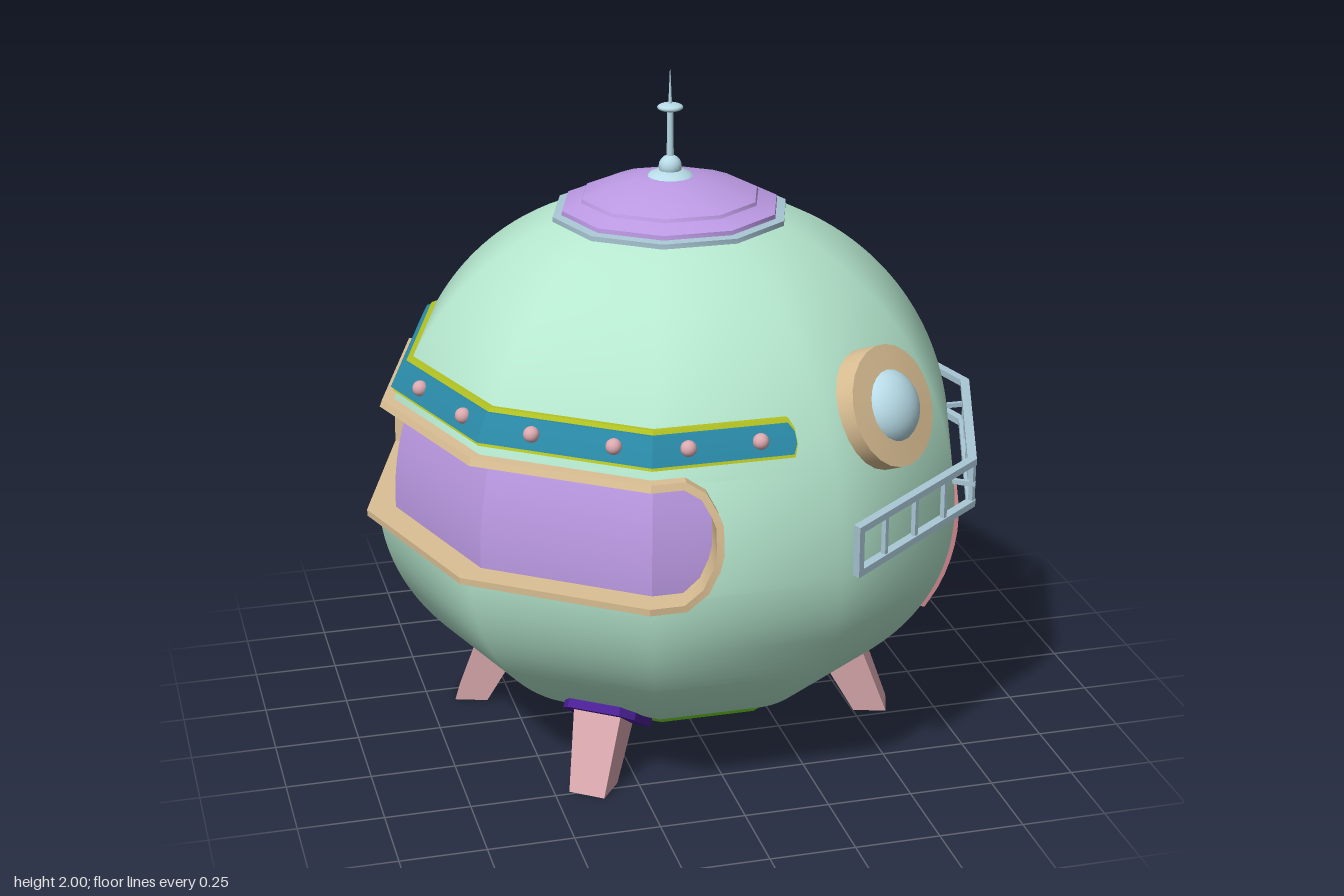
import * as THREE from 'three';
import { toCreasedNormals } from 'three/addons/utils/BufferGeometryUtils.js';

const SIDES = 10, FACET = Math.PI * 2 / SIDES;
const V = (x, y) => new THREE.Vector2(x, y);
const mat = (color) => new THREE.MeshStandardMaterial({ color });
const MAT = {
  hull: mat(0xb6e8cf), purple: mat(0xbc9ae4), tan: mat(0xdcc094), pink: mat(0xdcaab0),
  collar: mat(0x4b1f96), lime: mat(0x74d822), trim: mat(0xb4c422), teal: mat(0x2a8aa8),
  sky: mat(0xb8dce8), rail: mat(0xa8c6d4), doorPink: mat(0xc58388),
};

// Hull profile: half circle above the belt, flatter ellipse below it
const BELT = 0.76, GIRTH = 0.886;
const rise = (y) => (y > BELT ? GIRTH : 0.7);
const hullRadius = (y) => GIRTH * Math.sqrt(1 - ((y - BELT) / rise(y)) ** 2);

// Point on a ten-sided ring: t counts corners from +x towards +z
function ringPoint(t, r, y) {
  const n = Math.floor(t), f = t - n;
  const mix = (fn) => (fn(n * FACET) * (1 - f) + fn((n + 1) * FACET) * f) * r;
  return new THREE.Vector3(mix(Math.cos), y, mix(Math.sin));
}

function add(parent, name, geometry, material, x = 0, y = 0, z = 0) {
  const mesh = new THREE.Mesh(geometry, material);
  mesh.name = name;
  mesh.position.set(x, y, z);
  parent.add(mesh);
  return mesh;
}

// Skin over rows of points, optionally closed both ways
function skin(rows, closed) {
  const w = rows[0].length, h = rows.length, index = [];
  const id = (i, j) => (i % h) * w + (j % w);
  for (let i = 0; i < (closed ? h : h - 1); i++)
    for (let j = 0; j < (closed ? w : w - 1); j++) {
      const a = id(i, j), b = id(i + 1, j), c = id(i + 1, j + 1), d = id(i, j + 1);
      index.push(a, b, c, a, c, d);
    }
  const g = new THREE.BufferGeometry().setFromPoints(rows.flat());
  g.setIndex(index);
  return g;
}

// Smooth piece of hull; columns are [t, bottom, top]
function hullPatch(columns, n = 16) {
  const rows = [], normals = [];
  for (let i = 0; i <= n; i++) {
    rows.push(columns.map(([t, lo, hi]) => {
      const y = lo + (hi - lo) * i / n, r = hullRadius(y);
      const slope = GIRTH ** 2 * (y - BELT) / (rise(y) ** 2 * r);
      normals.push(...ringPoint(t, 1, slope).normalize());
      return ringPoint(t, r, y);
    }));
  }
  const g = skin(rows, false);
  g.setAttribute('normal', new THREE.Float32BufferAttribute(normals, 3));
  return g;
}

// Plate with a rim, following the hull at an offset
function plate(columns, offset, n = 8) {
  const rows = [], m = columns.length;
  for (let i = -1; i <= n + 1; i++) {
    const row = [];
    for (let j = -1; j <= m; j++) {
      const edge = i < 0 || i > n || j < 0 || j === m;
      const [t, lo, hi] = columns[THREE.MathUtils.clamp(j, 0, m - 1)];
      const y = lo + (hi - lo) * THREE.MathUtils.clamp(i, 0, n) / n;
      row.push(ringPoint(t, hullRadius(y) + offset - (edge ? 0.04 : 0), y));
    }
    rows.push(row);
  }
  return toCreasedNormals(skin(rows, false), 0.5);
}

// Closed frame of square section round an outline of [t, y] points
function frame(outline, width, low, high, radius = hullRadius) {
  const S = 0.52, n = outline.length, p = outline.map(([t, y]) => V(t * S, y));
  const rows = p.map((q, i) => {
    const d1 = q.clone().sub(p[(i + n - 1) % n]).normalize();
    const d2 = p[(i + 1) % n].clone().sub(q).normalize();
    const n1 = V(d1.y, -d1.x), n2 = V(d2.y, -d2.x);
    const o = n1.clone().add(n2).multiplyScalar(width / (1 + n1.dot(n2))).add(q);
    return [[q, low], [q, high], [o, high], [o, low]]
      .map(([v, off]) => ringPoint(v.x / S, radius(v.y) + off, v.y));
  });
  return toCreasedNormals(skin(rows, true), 0.5);
}

function lathe(points, sides = SIDES) {
  const g = new THREE.LatheGeometry(points.map(([r, y]) => V(r, y)), sides, Math.PI / 2);
  return toCreasedNormals(g, 0.64);
}

export function createModel() {
  const model = new THREE.Group();
  const ship = new THREE.Group();
  ship.name = 'ship';
  ship.position.set(-0.02, 0, -0.02);
  model.add(ship);

  // Hull, left open where the window sits
  const LO = 0.735, HI = 1.055, BACK = 5.96;
  const nose = [[2.67, 0.87, 0.945], [2.69, 0.83, 0.975], [2.74, 0.775, 1.025], [2.83, LO, HI]];
  const band = (ts, lo, hi) => ts.map((t) => [t, lo, hi]);
  const round = [...Array(SIDES + 1).keys()];
  const hull = new THREE.Group();
  hull.name = 'hull';
  ship.add(hull);
  add(hull, 'lowerHull', hullPatch(band(round, 0.16, LO), 24), MAT.hull);
  add(hull, 'middleHull', hullPatch(band([BACK - SIDES, -4, -3, -2, -1, 0, 1, 2, 2.67].slice(1), LO, HI)), MAT.hull);
  add(hull, 'hullBehindWindow', hullPatch(band([BACK, 6], LO, HI)), MAT.hull);
  add(hull, 'hullUnderNose', hullPatch(nose.map(([t, lo]) => [t, LO, lo])), MAT.hull);
  add(hull, 'hullOverNose', hullPatch(nose.map(([t, , hi]) => [t, hi, HI])), MAT.hull);
  add(hull, 'upperHull', hullPatch(band(round, HI, 1.58), 24), MAT.hull);
  add(hull, 'hullFloor', lathe([[0, 0.2], [0.4, 0.2]]), MAT.hull);
  add(ship, 'bottomRim', lathe([[0.37, 0.21], [0.38, 0.15], [0.455, 0.15], [0.472, 0.17]]), MAT.lime);

  // Roof hatch
  add(ship, 'roofRing', lathe([[0.35, 1.565], [0.35, 1.588], [0.32, 1.592]]), MAT.rail);
  add(ship, 'roofStep', lathe([[0.325, 1.58], [0.322, 1.604], [0.25, 1.63]]), MAT.purple);
  add(ship, 'roofDome', lathe([[0.268, 1.62], [0.262, 1.634], [0.2, 1.658], [0.1, 1.685], [0, 1.692]]), MAT.purple);

  // Antenna
  const antenna = new THREE.Group();
  antenna.name = 'antenna';
  ship.add(antenna);
  add(antenna, 'antennaBase', lathe([[0.072, 1.68], [0.06, 1.695], [0.03, 1.705], [0, 1.705]], 16), MAT.sky);
  add(antenna, 'antennaBall', new THREE.SphereGeometry(0.034, 16, 10), MAT.sky, 0, 1.715);
  add(antenna, 'antennaRod', new THREE.CylinderGeometry(0.009, 0.011, 0.17, 8), MAT.sky, 0, 1.81);
  add(antenna, 'antennaDisc', new THREE.SphereGeometry(0.038, 16, 8).scale(1, 0.32, 1), MAT.sky, 0, 1.89);
  add(antenna, 'antennaTip', new THREE.CylinderGeometry(0.001, 0.006, 0.11, 8), MAT.sky, 0, 1.945);

  // Wraparound window, set back inside a projecting frame
  const panes = [...nose, ...band([3, 4, 5, BACK], LO, HI)];
  add(ship, 'window', plate(panes, -0.05, 12), MAT.purple);
  const backEdge = [0.815, 0.895, 0.975].map((y) => [BACK, y]);
  const windowEdge = [...panes.map(([t, lo]) => [t, lo]), ...backEdge, ...panes.map(([t, , hi]) => [t, hi]).reverse()];
  add(ship, 'windowFrame', frame(windowEdge, 0.02, -0.06, 0.036), MAT.tan);

  // Light strip
  const strip = (g) => [[2.2 - g, 1.14 - g / 2, 1.17 + g / 2], [2.225 - g, 1.113 - g, 1.19 + g],
    ...band([3, 4, 5, 6, 6.93 + g], 1.113 - g, 1.19 + g)];
  add(ship, 'stripTrim', plate(strip(0.011), 0.014), MAT.trim);
  add(ship, 'strip', plate(strip(0), 0.024), MAT.teal);
  [2.4, 2.8, 3.22, 3.7, 4.2, 4.7].forEach((t) => {
    const p = ringPoint(t, hullRadius(1.155) + 0.028, 1.155);
    add(ship, 'stripLight', new THREE.SphereGeometry(0.023, 14, 10), MAT.pink, p.x, p.y, p.z);
  });

  // Porthole
  const porthole = new THREE.Group();
  porthole.name = 'porthole';
  porthole.position.copy(ringPoint(1.5, hullRadius(1.15), 1.15));
  porthole.rotation.set(-0.39, Math.PI / 2 - 1.5 * FACET, 0, 'YXZ');
  ship.add(porthole);
  const ring = lathe([[0.174, -0.05], [0.174, 0.052], [0.1, 0.058], [0.1, -0.02]], 24);
  add(porthole, 'portholeRing', ring.rotateX(Math.PI / 2), MAT.tan);
  add(porthole, 'portholeGlass', new THREE.SphereGeometry(0.108, 24, 16).scale(1, 1, 0.7), MAT.sky, 0, 0, 0.032);

  // Door
  add(ship, 'door', plate(band([0.48, 0.96], 0.465, 0.755), 0.004), MAT.tan);
  const sill = [0, 1, 2, 3, 4, 5, 6].map((i) => 0.465 + 0.29 * i / 6);
  const doorEdge = [...sill.map((y) => [0.96, y]), ...sill.map((y) => [0.48, y]).reverse()];
  add(ship, 'doorFrame', frame(doorEdge, 0.018, -0.02, 0.014), MAT.doorPink);

  // Railing climbing towards the back
  const railing = new THREE.Group();
  railing.name = 'railing';
  ship.add(railing);
  const R = 0.935, foot = (t) => 0.787 + (2 - t) * 0.025;
  const stops = [-0.91, 0, 1, 1.94];
  const railEdge = [...stops.map((t) => [t, foot(t)]), ...stops.map((t) => [t, foot(t) + 0.11]).reverse()];
  add(railing, 'railFrame', frame(railEdge, 0.02, -0.016, 0.012, () => R), MAT.rail);
  for (let t = -0.75; t < 1.9; t += 0.25) {
    const p = ringPoint(t, R, foot(t) + 0.055);
    const bar = add(railing, 'railBar', new THREE.BoxGeometry(0.014, 0.12, 0.014), MAT.rail, p.x, p.y, p.z);
    bar.rotation.y = -(Math.floor(t) + 0.5) * FACET;
  }
  [0, 1].forEach((t) => {
    const p = ringPoint(t, R - 0.04, foot(t) + 0.05);
    const bracket = add(railing, 'railBracket', new THREE.BoxGeometry(0.1, 0.014, 0.014), MAT.rail, p.x, p.y, p.z);
    bracket.rotation.y = -t * FACET;
  });

  // Legs with collars, set on four of the ten faces
  const collarShape = new THREE.Shape([V(-0.118, -0.09), V(0.118, -0.09), V(0.112, 0.04), V(0.08, 0.09), V(-0.08, 0.09), V(-0.112, 0.04)]);
  const collarGeo = new THREE.ExtrudeGeometry(collarShape, { depth: 0.04, bevelEnabled: false }).translate(0, 0, -0.02);
  const legGeo = new THREE.BoxGeometry(1, 0.25, 1).translate(0, 0.125, 0);
  const pos = legGeo.attributes.position;
  for (let i = 0; i < pos.count; i++) {
    const top = pos.getY(i) > 0.1;
    pos.setXYZ(i, pos.getX(i) * (top ? 0.15 : 0.11), pos.getY(i), pos.getZ(i) * (top ? 0.15 : 0.1) + (top ? 0.5 : 0.617));
  }
  legGeo.computeVertexNormals();
  [18, 126, 198, 306].forEach((deg) => {
    const leg = new THREE.Group();
    leg.name = 'leg';
    leg.rotation.y = Math.PI / 2 - THREE.MathUtils.degToRad(deg);
    ship.add(leg);
    add(leg, 'legPost', legGeo, MAT.pink);
    add(leg, 'legCollar', collarGeo, MAT.collar, 0, 0.212, 0.528).rotation.x = 0.97;
  });
  return model;
}
